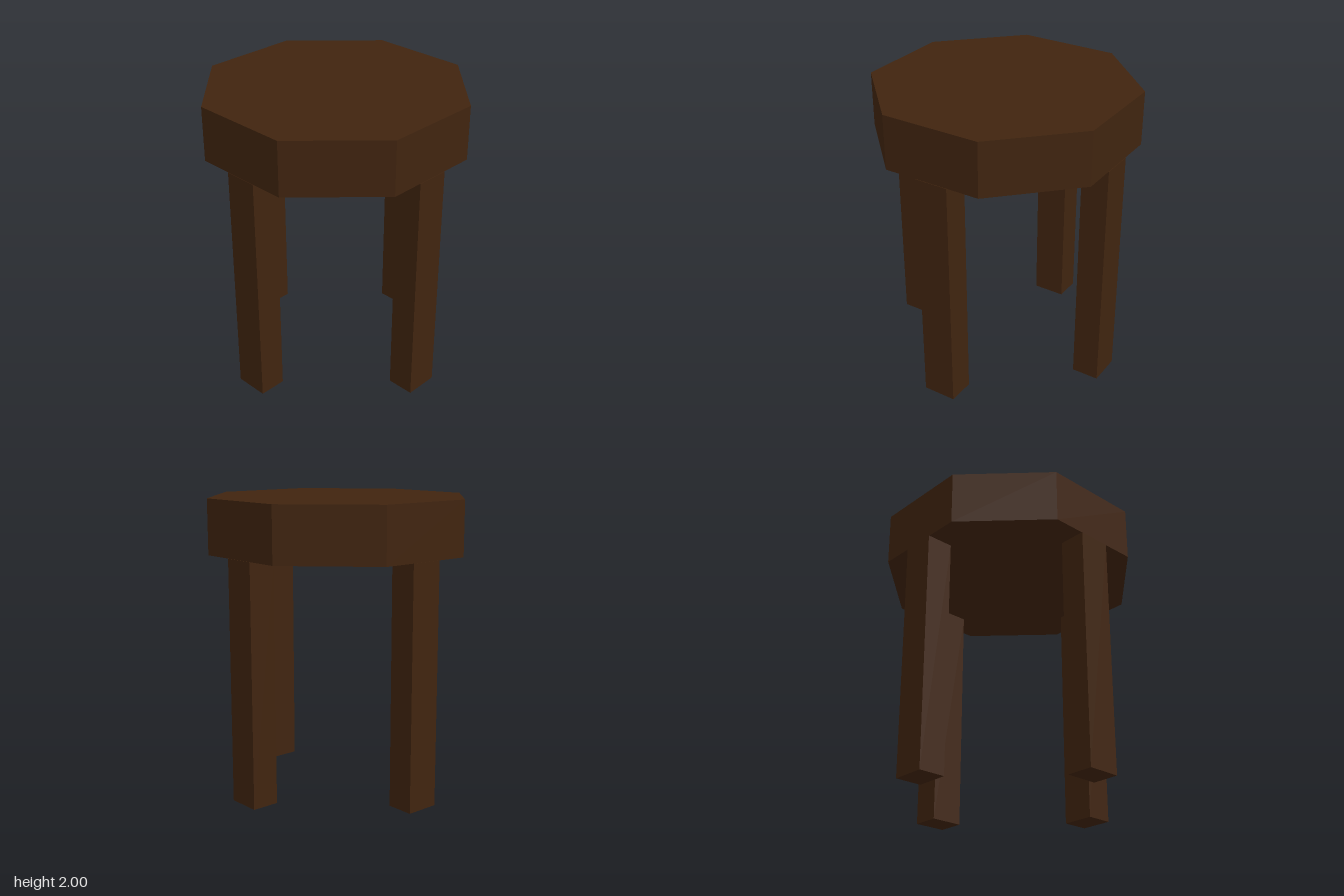
import * as THREE from 'three';

export function createModel() {
  const stool = new THREE.Group();
  stool.name = 'stool';
  const wood = new THREE.MeshStandardMaterial({ color: 0x40240f, flatShading: true });
  wood.name = 'dark brown wood';

  // Octagonal seat with flat sides facing the four axes
  const seatBottom = 1.63, seatTop = 2, apothem = 0.83;
  const radius = apothem / Math.cos(Math.PI / 8);
  const seatGeometry = new THREE.CylinderGeometry(radius, radius, seatTop - seatBottom, 8);
  seatGeometry.rotateY(Math.PI / 8);
  const seat = new THREE.Mesh(seatGeometry, wood);
  seat.name = 'seat';
  seat.position.y = (seatTop + seatBottom) / 2;
  stool.add(seat);

  // Four straight legs on the diagonals, broad side facing outwards
  const legGeometry = new THREE.BoxGeometry(0.231, seatBottom, 0.188);
  const names = ['frontLeftLeg', 'backLeftLeg', 'backRightLeg', 'frontRightLeg'];
  const legDistance = 0.523 * Math.SQRT2;
  names.forEach((name, i) => {
    const angle = Math.PI / 4 + i * Math.PI / 2;
    const leg = new THREE.Mesh(legGeometry, wood);
    leg.name = name;
    leg.position.set(Math.sin(angle) * legDistance, seatBottom / 2, Math.cos(angle) * legDistance);
    leg.rotation.y = angle;
    stool.add(leg);
  });

  return stool;
}
